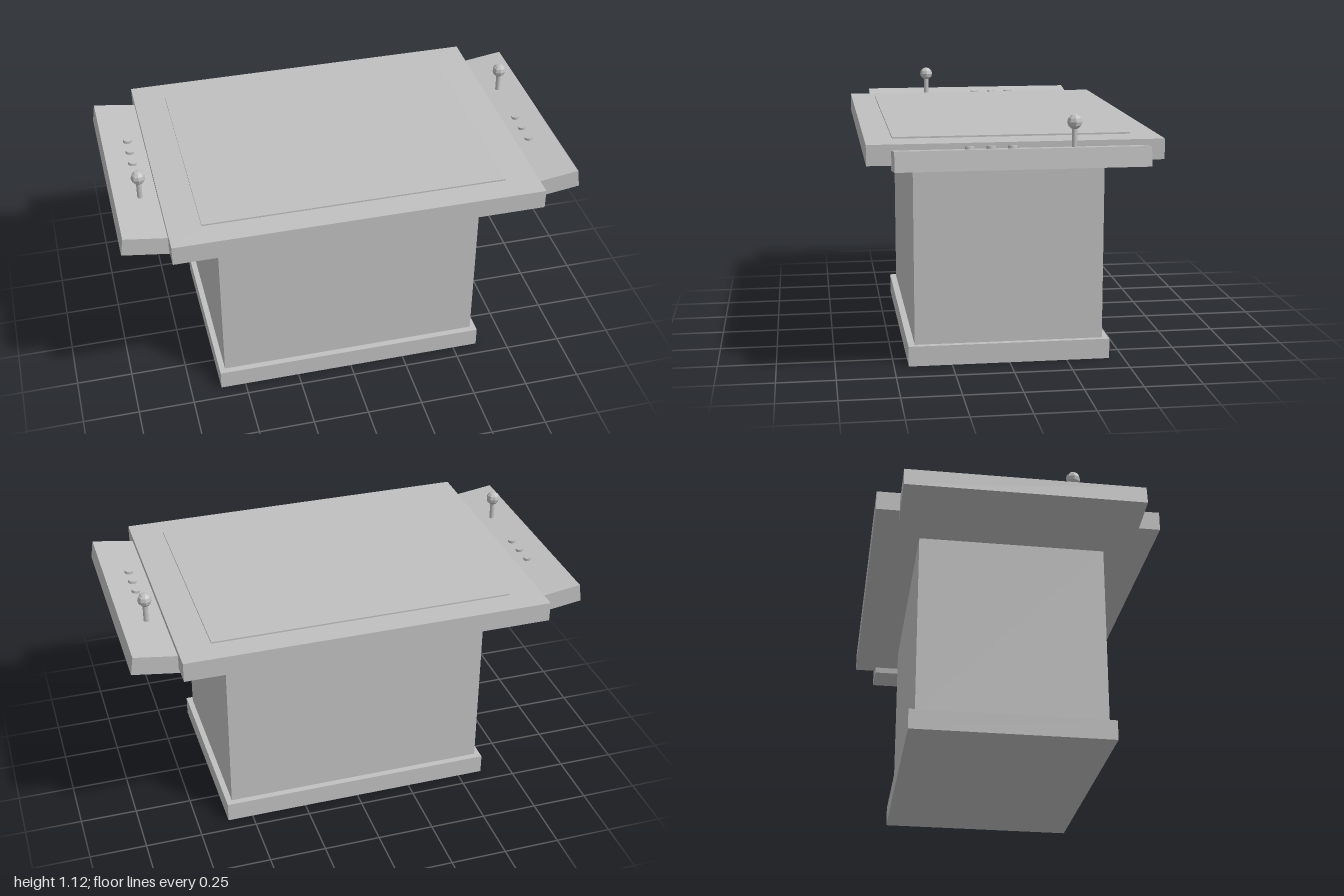
import * as THREE from 'three';

export function createModel() {
  const model = new THREE.Group();
  model.name = 'cocktailTableCabinet';
  const grey = new THREE.MeshStandardMaterial({ color: 0xc0c0c0 });
  grey.name = 'light grey';

  const add = (parent, name, geometry, x, y, z) => {
    const mesh = new THREE.Mesh(geometry, grey);
    mesh.name = name;
    mesh.position.set(x, y, z);
    parent.add(mesh);
    return mesh;
  };
  // Box standing between two heights, centred on the y axis
  const slab = (name, w, d, y0, y1) =>
    add(model, name, new THREE.BoxGeometry(w, y1 - y0, d), 0, (y0 + y1) / 2, 0);

  slab('plinth', 1.225, 0.875, 0, 0.088);
  slab('cabinetBody', 1.174, 0.818, 0.088, 0.91);
  slab('tableTop', 1.606, 1.224, 0.91, 0.996);
  slab('glassPanel', 1.32, 0.996, 0.996, 1.003);

  // Control panel profile (outer end tilted up), run along z
  const panelShape = new THREE.Shape([
    [0.765, 0.883], [1, 0.917], [0.988, 0.998], [0.753, 0.964],
  ].map(([x, y]) => new THREE.Vector2(x, y)));
  const panelGeometry = new THREE.ExtrudeGeometry(panelShape, { depth: 1.022, bevelEnabled: false });
  const stickGeometry = new THREE.CylinderGeometry(0.011, 0.011, 0.1, 8);
  const ballGeometry = new THREE.SphereGeometry(0.031, 8, 6).toNonIndexed();
  ballGeometry.computeVertexNormals();
  const buttonGeometry = new THREE.CylinderGeometry(0.019, 0.019, 0.022, 12);

  // One player station, turned half round for the opposite end
  for (const [name, angle] of [['left', 0], ['right', Math.PI]]) {
    const station = new THREE.Group();
    station.name = name + 'ControlStation';
    station.rotation.y = angle;
    add(station, 'controlPanel', panelGeometry, 0, 0, -0.511);
    add(station, 'joystickShaft', stickGeometry, 0.877, 1.02, -0.22);
    add(station, 'joystickBall', ballGeometry, 0.877, 1.085, -0.22);
    for (const z of [0.03, 0.117, 0.204]) {
      const button = add(station, 'button', buttonGeometry, 0.876, 0.983, z);
      button.rotation.z = 0.144;
    }
    model.add(station);
  }
  return model;
}
